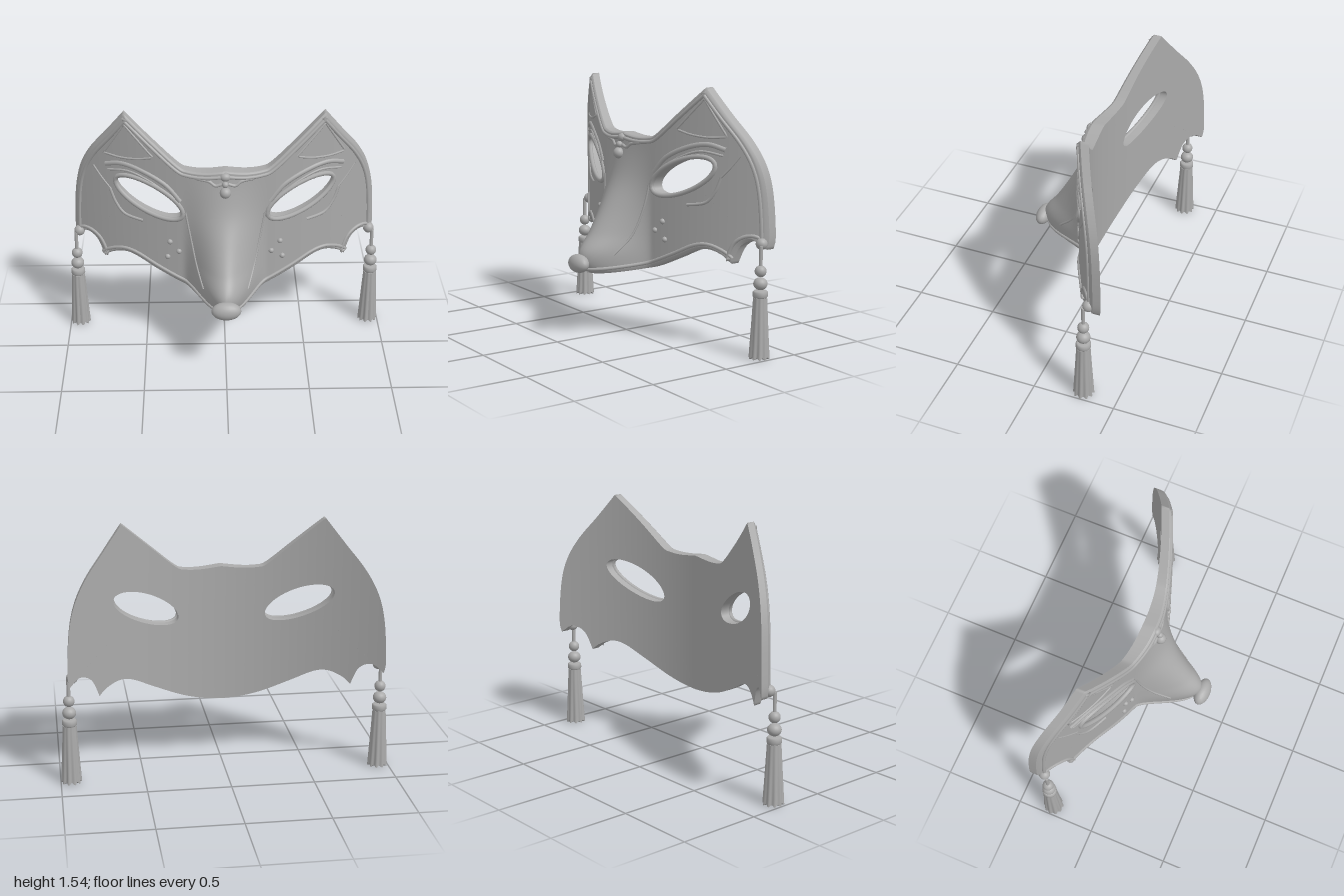
import * as THREE from 'three';
import { mergeGeometries, mergeVertices } from 'three/addons/utils/BufferGeometryUtils.js';

const V2 = (p) => new THREE.Vector2(p[0], p[1]);
const spline = (pts, n) => new THREE.SplineCurve(pts.map(V2)).getSpacedPoints(n);

// Height of the snout ridge above y, on the centre line
const ridge = new THREE.CubicInterpolant(
  [0.38, 0.42, 0.47, 0.535, 0.65, 0.815, 0.96, 1.095, 1.25, 1.6],
  [0.25, 0.29, 0.325, 0.333, 0.255, 0.16, 0.09, 0.053, 0.03, 0.03], 1);
const backZ = (x) => -0.055 - 0.385 * x * x;
function frontZ(x, y) {
  const u = Math.min(1, Math.abs(x) / 0.26);
  const snout = (ridge.evaluate(y)[0] - 0.03) * (1 - u * u) ** 2;
  return backZ(x) + 0.06 + 0.025 * Math.exp(-((x / 0.3) ** 2)) + snout;
}

// Almond eye, tilted upwards to the outside
const EYE = { x: 0.46, y: 1.025, a: 0.215, h: 0.085, c: Math.cos(0.436), s: Math.sin(0.436) };
function eyePoint(t, k = 0) {
  const lx = (EYE.a + k) * Math.cos(t), ly = (EYE.h + k) * Math.sin(t);
  return new THREE.Vector2(EYE.x + lx * EYE.c - ly * EYE.s, EYE.y + lx * EYE.s + ly * EYE.c);
}
function eyeAngle(p) {
  const dx = p.x - EYE.x, dy = p.y - EYE.y;
  return Math.atan2((dy * EYE.c - dx * EYE.s) / 0.16, (dx * EYE.c + dy * EYE.s) / 0.23);
}

// Half outline, from the chin round the cheek and ear to the forehead
const edge = [
  ...spline([[0, 0.405], [0.12, 0.417], [0.257, 0.455], [0.42, 0.53], [0.55, 0.597], [0.63, 0.61], [0.71, 0.58], [0.755, 0.54]], 50).slice(0, -1),
  ...spline([[0.755, 0.54], [0.8, 0.65], [0.87, 0.685], [0.93, 0.64]], 16).slice(0, -1),
  ...spline([[0.93, 0.64], [0.94, 0.72], [0.925, 0.96], [0.89, 1.12], [0.82, 1.26], [0.71, 1.405], [0.6, 1.55]], 54).slice(0, -1),
  ...spline([[0.6, 1.55], [0.43, 1.395], [0.28, 1.262], [0.22, 1.237], [0.12, 1.232], [0, 1.245]], 44),
];
const centre = spline([[0, 1.245], [0, 0.405]], 60).slice(1);
const loop = [...edge, ...centre];

// Surface through rows of points; the normal is (row step) x (point step)
function patch(rows, flip) {
  const list = flip ? [...rows].reverse() : rows;
  const n = list[0].length, pos = [], idx = [];
  list.forEach((row) => row.forEach((p) => pos.push(flip ? -p[0] : p[0], p[1], p[2])));
  for (let j = 0; j < list.length - 1; j++) {
    for (let i = 0; i < n - 1; i++) {
      const a = j * n + i, b = a + n;
      idx.push(a, b, b + 1, a, b + 1, a + 1);
    }
  }
  const g = new THREE.BufferGeometry();
  g.setAttribute('position', new THREE.Float32BufferAttribute(pos, 3));
  g.setIndex(idx);
  return g;
}
function bothSides(rows) {
  const g = mergeVertices(mergeGeometries([patch(rows, false), patch(rows, true)]), 1e-5);
  g.computeVertexNormals();
  return g;
}

export function createModel() {
  const group = new THREE.Group();
  const grey = new THREE.MeshStandardMaterial({ color: 0xaaaaaa });
  grey.name = 'plain grey';
  function add(name, geo, parent = group) {
    const m = new THREE.Mesh(geo, grey);
    m.name = name;
    parent.add(m);
    return m;
  }
  function ball(name, r, x, y, z, parent = group, sy = 1) {
    const m = add(name, new THREE.SphereGeometry(r, 20, 14), parent);
    m.position.set(x, y, z);
    m.scale.y = sy;
    return m;
  }

  // Mask shell: rings spread from the eye to the outline
  const RINGS = 30, front = [], back = [];
  const eye = loop.map((p) => eyePoint(eyeAngle(p)));
  for (let j = 0; j <= RINGS; j++) {
    const ring = loop.map((p, i) => eye[i].clone().lerp(p, j / RINGS));
    const bevel = (i) => (j === RINGS && i < edge.length ? 0.012 : 0);
    front.push(ring.map((p, i) => [p.x, p.y, frontZ(p.x, p.y) - bevel(i)]));
    back.push(ring.map((p) => [p.x, p.y, backZ(p.x)]));
  }
  const outer = (rows) => rows[RINGS].slice(0, edge.length);
  add('maskFront', bothSides(front));
  add('maskBack', bothSides([...back].reverse()));
  add('maskEdge', bothSides([outer(front), outer(back)]));
  add('eyeHoleWall', bothSides([back[0], front[0]]));

  // Raised strokes that follow the front surface
  function stroke(name, pts, r, side, closed = false, lift = 0) {
    const path = pts.map((p) => new THREE.Vector3(side * p.x, p.y, frontZ(p.x, p.y) + lift));
    const curve = new THREE.CatmullRomCurve3(path, closed);
    add(name, new THREE.TubeGeometry(curve, Math.max(40, pts.length), r, 8, closed));
  }
  const inset = (d) => edge.map((p, i) => {
    const a = edge[Math.max(0, i - 1)], b = edge[Math.min(edge.length - 1, i + 1)];
    const t = b.clone().sub(a).normalize();
    const end = i === 0 || i === edge.length - 1;
    return new THREE.Vector2(end ? 0 : Math.max(0, p.x - t.y * d), p.y + t.x * d);
  });
  const eyeRim = Array.from({ length: 48 }, (_, i) => eyePoint(i / 48 * Math.PI * 2, 0.008));
  const earPanel = [
    ...spline([[0.73, 1.275], [0.6, 1.485]], 10).slice(0, -1),
    ...spline([[0.6, 1.485], [0.43, 1.3]], 10).slice(0, -1),
    ...spline([[0.43, 1.3], [0.52, 1.275], [0.63, 1.265], [0.73, 1.275]], 12).slice(0, -1),
  ];

  for (const s of [1, -1]) {
    stroke('borderRim', inset(0.03), 0.011, s);
    stroke('eyeRim', eyeRim, 0.015, s, true);
    stroke('earPanelRim', earPanel, 0.007, s, true);
    stroke('brow', spline([[0.72, 1.2], [0.62, 1.225], [0.5, 1.2], [0.36, 1.13], [0.27, 1.03]], 30), 0.016, s, false, -0.004);
    stroke('upperLid', spline([[0.71, 1.165], [0.58, 1.182], [0.45, 1.137], [0.33, 1.06]], 24), 0.007, s);
    stroke('cheekLine', spline([[0.7, 1.04], [0.665, 0.95], [0.61, 0.885], [0.5, 0.862]], 24), 0.01, s);
    stroke('templeLine', spline([[0.8, 1.17], [0.75, 1.1], [0.69, 1.03]], 16), 0.006, s);
    stroke('snoutLine', spline([[0.24, 0.96], [0.21, 0.8], [0.175, 0.64], [0.135, 0.53]], 30), 0.007, s);
    stroke('foreheadCurl', spline([[0.02, 1.17], [0.06, 1.16], [0.1, 1.185], [0.17, 1.195]], 16), 0.01, s);
    for (const [x, y] of [[0.337, 0.743], [0.283, 0.684], [0.353, 0.636]]) {
      ball('cheekDot', 0.017, s * x, y, frontZ(x, y));
    }

    // Hanging tassel
    const tassel = new THREE.Group();
    tassel.name = 'tassel';
    tassel.position.set(s * 0.937, 0, -0.29);
    group.add(tassel);
    ball('cordKnot', 0.034, -s * 0.022, 0.675, -0.022, tassel);
    add('cord', new THREE.CylinderGeometry(0.011, 0.011, 0.15, 12), tassel).position.y = 0.595;
    ball('upperBead', 0.034, 0, 0.523, 0, tassel);
    ball('lowerBead', 0.041, 0, 0.45, 0, tassel, 0.9);
    const collar = [[0, 0.41], [0.036, 0.41], [0.044, 0.402], [0.044, 0.378], [0.036, 0.368], [0, 0.368]];
    add('collar', new THREE.LatheGeometry([...collar].reverse().map(V2), 24), tassel);
    // Fluted skirt, widening downwards
    const skirt = new THREE.CylinderGeometry(0.04, 0.058, 0.36, 60, 8);
    const q = skirt.attributes.position;
    for (let i = 0; i < q.count; i++) {
      const x = q.getX(i), y = q.getY(i), z = q.getZ(i);
      const wave = Math.cos(Math.atan2(z, x) * 10), down = 0.5 - y / 0.36;
      const k = 1 + wave * (0.03 + 0.05 * down);
      const hem = y < -0.179 && Math.hypot(x, z) > 0.01 ? 0.007 * (1 - wave) : 0;
      q.setXYZ(i, x * k, y + hem, z * k);
    }
    skirt.computeVertexNormals();
    add('skirt', skirt, tassel).position.y = 0.19;
  }

  // Nose and forehead ornament
  const nose = ball('nose', 1, 0, 0.473, 0.345);
  nose.scale.set(0.09, 0.056, 0.048);
  nose.rotation.x = -0.3;
  ball('foreheadBead', 0.034, 0, 1.12, 0.055);
  ball('foreheadStud', 0.02, 0, 1.172, 0.05);
  const crest = ball('foreheadCrest', 0.032, 0, 1.212, 0.03);
  crest.scale.set(1, 0.8, 0.8);
  return group;
}
